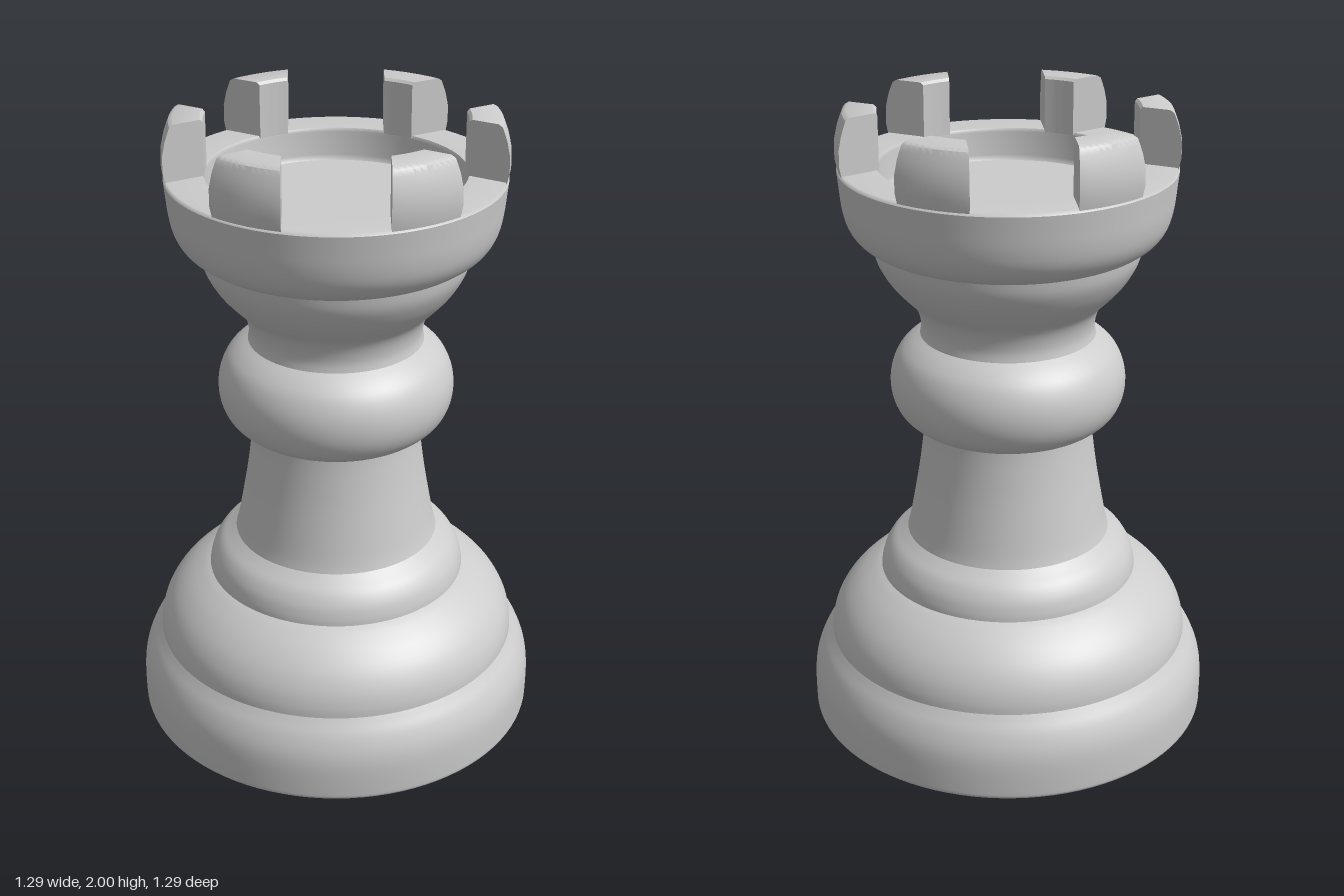
import * as THREE from 'three';
import { toCreasedNormals } from 'three/addons/utils/BufferGeometryUtils.js';

const SEGMENTS = 96;
const SLOT = 0.15; // half width of the parallel-sided gaps between battlements

// Smooth surface of revolution through a few (radius, height) points.
function turned(name, points, material, smooth = true) {
  let profile = points.map(([r, y]) => new THREE.Vector2(r, y));
  if (smooth) profile = new THREE.SplineCurve(profile).getPoints(points.length * 3);
  const mesh = new THREE.Mesh(new THREE.LatheGeometry(profile, SEGMENTS), material);
  mesh.name = name;
  return mesh;
}

// Ring section whose flanks run parallel to the neighbouring gaps.
function battlementGeometry() {
  const section = [
    [0.387, 1.82], [0.505, 1.82], [0.513, 1.86], [0.512, 1.91], [0.503, 1.95],
    [0.494, 1.975], [0.487, 1.992], [0.474, 2.0], [0.395, 2.0], [0.387, 1.992],
  ];
  const steps = 10, n = section.length, vertices = [], index = [];
  for (let i = 0; i <= steps; i++) {
    for (const [r, y] of section) {
      const a = (Math.PI / 6 - Math.asin(SLOT / r)) * (2 * i / steps - 1);
      vertices.push(r * Math.sin(a), y, r * Math.cos(a));
    }
  }
  for (let i = 0; i < steps; i++) {
    for (let j = 0; j < n; j++) {
      const k = (j + 1) % n;
      const a = i * n + j, b = a + n, c = (i + 1) * n + k, d = i * n + k;
      index.push(a, b, d, c, d, b);
    }
  }
  // Flat flanks
  const last = steps * n;
  for (let j = 1; j < n - 1; j++) {
    index.push(0, j, j + 1, last, last + j + 1, last + j);
  }
  const geometry = new THREE.BufferGeometry();
  geometry.setAttribute('position', new THREE.Float32BufferAttribute(vertices, 3));
  geometry.setIndex(index);
  return toCreasedNormals(geometry, Math.PI / 5);
}

export function createModel() {
  const model = new THREE.Group();
  model.name = 'chessRook';
  const stone = new THREE.MeshStandardMaterial({ color: 0xcccccc });
  stone.name = 'light grey';

  // Stepped foot
  model.add(turned('underside', [[0, 0], [0.632, 0]], stone, false));
  model.add(turned('base', [
    [0.632, 0], [0.641, 0.008], [0.643, 0.03], [0.643, 0.11], [0.635, 0.165],
    [0.615, 0.215], [0.592, 0.25], [0.58, 0.268],
  ], stone));
  model.add(turned('lowerStep', [
    [0.58, 0.268], [0.577, 0.3], [0.564, 0.345], [0.535, 0.395], [0.49, 0.442],
    [0.44, 0.478], [0.412, 0.493],
  ], stone));
  model.add(turned('upperStep', [
    [0.412, 0.493], [0.409, 0.515], [0.398, 0.55], [0.375, 0.585], [0.345, 0.61],
    [0.324, 0.627],
  ], stone));

  // Stem, collar and neck
  model.add(turned('stem', [
    [0.324, 0.627], [0.314, 0.665], [0.298, 0.75], [0.281, 0.85], [0.268, 0.95],
    [0.264, 1.0],
  ], stone));
  model.add(turned('collar', [
    [0.264, 1.0], [0.3, 1.012], [0.338, 1.045], [0.36, 1.09], [0.367, 1.14],
    [0.36, 1.19], [0.338, 1.238], [0.305, 1.272], [0.272, 1.295],
  ], stone));
  model.add(turned('neck', [
    [0.272, 1.295], [0.268, 1.325], [0.275, 1.365], [0.292, 1.4], [0.325, 1.433],
    [0.362, 1.475], [0.39, 1.52], [0.404, 1.555], [0.41, 1.59],
  ], stone));

  // Hollow crown
  model.add(turned('crown', [
    [0.41, 1.59], [0.435, 1.602], [0.465, 1.627], [0.487, 1.665], [0.499, 1.715],
    [0.505, 1.77], [0.51, 1.82],
  ], stone));
  model.add(turned('crownRim', [[0.51, 1.82], [0.503, 1.83], [0.392, 1.83]], stone, false));
  model.add(turned('crownInnerWall', [[0.392, 1.83], [0.386, 1.82], [0.385, 1.745], [0.375, 1.73]], stone, false));
  model.add(turned('crownFloor', [[0.375, 1.73], [0, 1.73]], stone, false));

  // Six battlements around the rim
  const battlement = battlementGeometry();
  for (let i = 0; i < 6; i++) {
    const mesh = new THREE.Mesh(battlement, stone);
    mesh.name = 'battlement' + (i + 1);
    mesh.rotation.y = i * Math.PI / 3;
    model.add(mesh);
  }
  return model;
}
